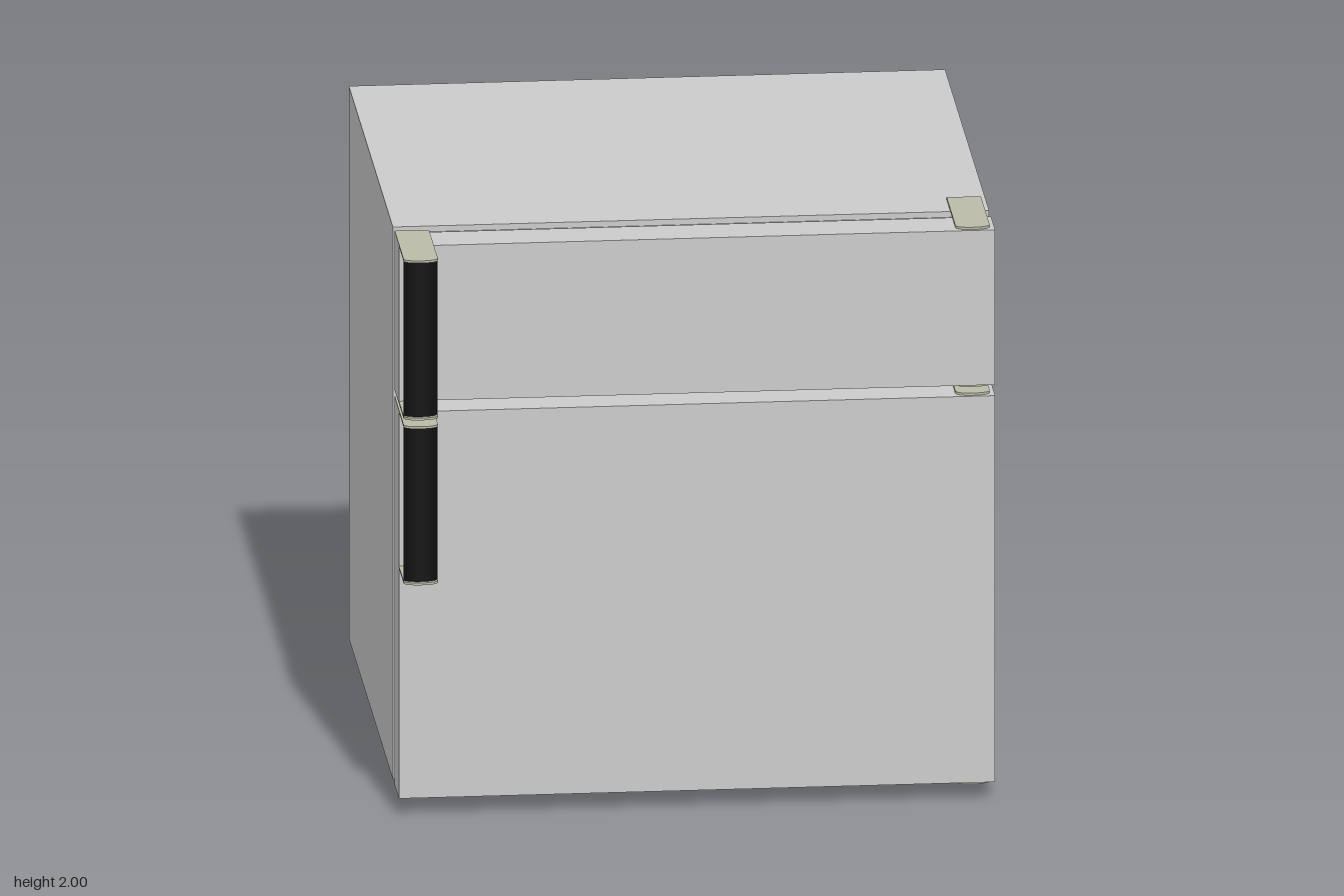
import * as THREE from 'three';

export function createModel() {
  const model = new THREE.Group();
  const grey = new THREE.MeshStandardMaterial({ color: 0xcccccc });
  const black = new THREE.MeshStandardMaterial({ color: 0x101010 });
  const metal = new THREE.MeshStandardMaterial({ color: 0xbbbba8 });

  const add = (name, geometry, material) => {
    const mesh = new THREE.Mesh(geometry, material);
    mesh.name = name;
    model.add(mesh);
    return mesh;
  };

  // Box given by its lower and upper limits on each axis
  const box = (name, [x0, x1], [y0, y1], [z0, z1]) =>
    add(name, new THREE.BoxGeometry(x1 - x0, y1 - y0, z1 - z0), grey)
      .position.set((x0 + x1) / 2, (y0 + y1) / 2, (z0 + z1) / 2);

  // Thin flat plate whose front end is softly rounded
  const plate = (name, x0, x1, z0, z1, y, thickness = 0.008) => {
    const c = 0.028;
    const s = new THREE.Shape();
    s.moveTo(x0, -z0);
    s.lineTo(x0, -(z1 - c));
    s.bezierCurveTo(x0, -z1 + 0.008, x0 + c, -z1, (x0 + x1) / 2, -z1);
    s.bezierCurveTo(x1 - c, -z1, x1, -z1 + 0.008, x1, -(z1 - c));
    s.lineTo(x1, -z0);
    s.closePath();
    const g = new THREE.ExtrudeGeometry(s, { depth: thickness, bevelEnabled: false, curveSegments: 8 });
    g.rotateX(-Math.PI / 2);
    add(name, g, metal).position.y = y;
  };

  // Cabinet
  box('cabinet', [-1, 1], [0.06, 1.992], [-1, 0.585]);

  // Doors with their recessed seals
  for (const [label, y0, y1] of [['lower', 0.06, 1.412], ['upper', 1.45, 1.992]]) {
    box(label + 'Door', [-1, 1], [y0, y1], [0.653, 0.803]);
    box(label + 'DoorSeal', [-0.96, 0.96], [y0 + 0.02, y1 - 0.02], [0.585, 0.653]);
  }

  // Hinge plates above and below each door, on the model's left
  plate('topHinge', 0.87, 0.985, 0.45, 0.793, 1.992);
  plate('bottomHinge', 0.87, 0.985, 0.45, 0.793, 0.052);
  for (const y of [1.412, 1.442]) plate('middleHinge', 0.87, 0.985, 0.585, 0.793, y);

  // Handles: a slim oval grip held between two plates
  for (const [label, y0, y1] of [['lower', 0.865, 1.42], ['upper', 1.442, 2]]) {
    for (const y of [y0, y1 - 0.008]) plate(label + 'HandleBracket', -1, -0.885, 0.653, 0.997, y);
    const h = y1 - y0 - 0.016;
    const grip = new THREE.CylinderGeometry(1, 1, h, 32);
    grip.scale(0.057, 1, 0.026);
    add(label + 'HandleGrip', grip, black).position.set(-0.9425, (y0 + y1) / 2, 0.957);
  }

  // Feet
  for (const x of [-0.82, 0.82])
    for (const z of [-0.83, 0.427])
      add('foot', new THREE.CylinderGeometry(0.081, 0.081, 0.06, 24), black).position.set(x, 0.03, z);

  return model;
}
